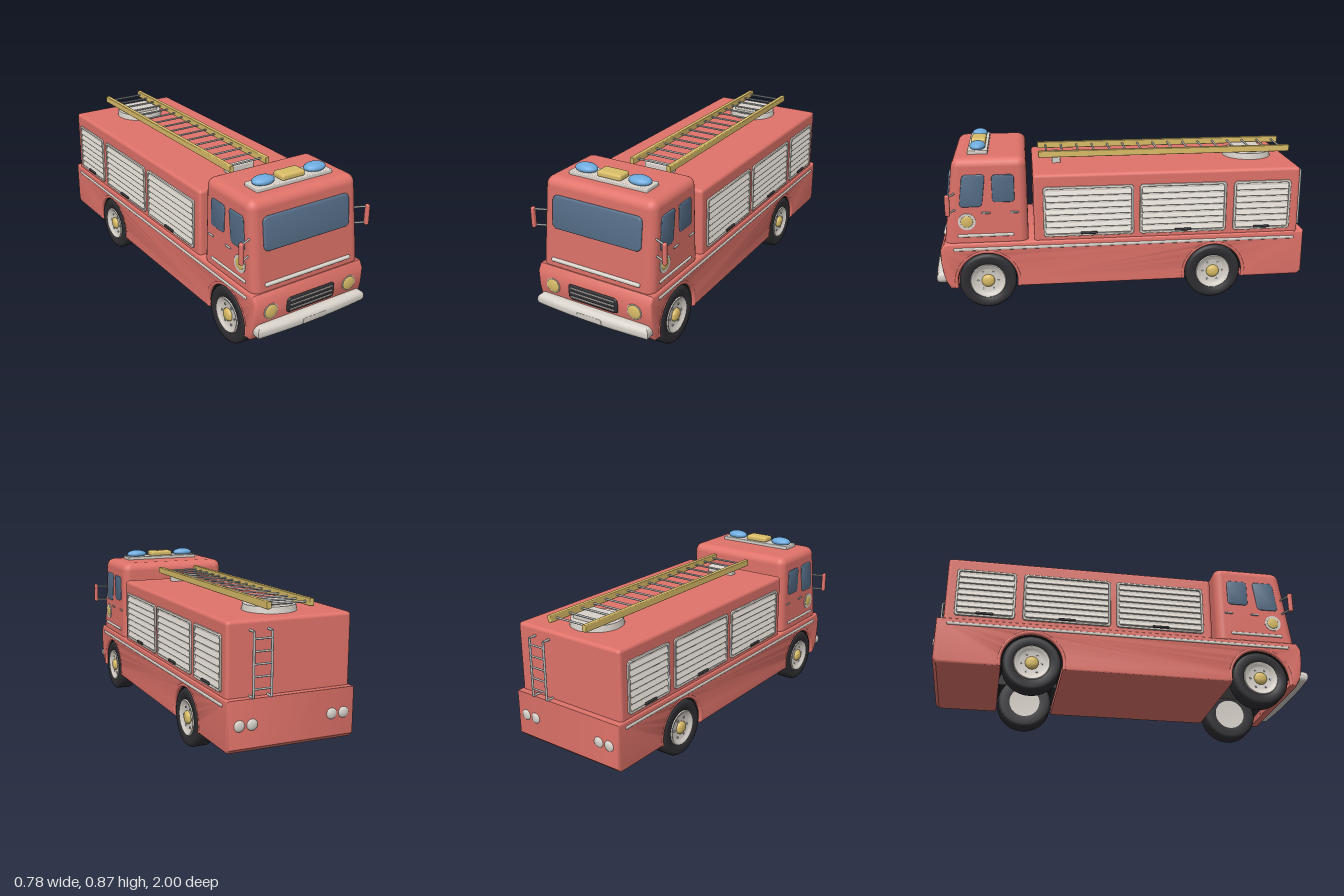
import * as THREE from 'three';
import { toCreasedNormals } from 'three/addons/utils/BufferGeometryUtils.js';
import { RoundedBoxGeometry } from 'three/addons/geometries/RoundedBoxGeometry.js';

const paint = (name, color, side = THREE.FrontSide) => {
  const m = new THREE.MeshStandardMaterial({ color, side });
  m.name = name;
  return m;
};
const V = (x, y, z) => new THREE.Vector3(x, y, z);

export function createModel() {
  const red = paint('red paint', 0xe0736a);
  const cream = paint('pale trim', 0xd8d2ca);
  const gold = paint('gold', 0xdabd68);
  const blue = paint('beacon blue', 0x6eabde);
  const glass = paint('window glass', 0x566e88);
  const black = paint('rubber black', 0x2f2f33);
  const well = paint('wheel well', 0x202022, THREE.DoubleSide);
  const steel = paint('steel', 0xb6b9b9);

  const truck = new THREE.Group();
  truck.name = 'fireTruck';

  const add = (name, geo, mat, x = 0, y = 0, z = 0, parent = truck) => {
    const m = new THREE.Mesh(geo, mat);
    m.name = name;
    m.position.set(x, y, z);
    parent.add(m);
    return m;
  };
  const rbox = (w, h, d, r = 0.008) => new RoundedBoxGeometry(w, h, d, 3, r);
  const extrude = (shape, depth, bevel, offset = 0) => {
    const g = new THREE.ExtrudeGeometry(shape, {
      depth, bevelEnabled: true, bevelThickness: bevel, bevelSize: bevel,
      bevelOffset: offset, bevelSegments: 5, curveSegments: 20,
    });
    g.translate(0, 0, -depth / 2);
    return toCreasedNormals(g, 0.7);
  };
  const roundRect = (w, h, r, S = THREE.Shape) => {
    const s = new S(), a = w / 2, b = h / 2;
    s.absarc(a - r, b - r, r, 0, Math.PI / 2);
    s.absarc(-a + r, b - r, r, Math.PI / 2, Math.PI);
    s.absarc(-a + r, -b + r, r, Math.PI, Math.PI * 1.5);
    s.absarc(a - r, -b + r, r, Math.PI * 1.5, Math.PI * 2);
    s.closePath();
    return s;
  };
  const plate = (w, h, r, bevel = 0.006) => extrude(roundRect(w, h, r), 0.002, bevel, -bevel);
  const rod = (name, a, b, r, mat) => {
    const m = add(name, new THREE.CylinderGeometry(r, r, a.distanceTo(b), 10), mat);
    m.position.copy(a).lerp(b, 0.5);
    m.quaternion.setFromUnitVectors(V(0, 1, 0), b.clone().sub(a).normalize());
  };
  const reshape = (geo, rule) => {
    const p = geo.attributes.position, v = V(0, 0, 0);
    for (let i = 0; i < p.count; i++) {
      rule(v.fromBufferAttribute(p, i));
      p.setXYZ(i, v.x, v.y, v.z);
    }
    return geo;
  };
  const dome = (r, h) => new THREE.SphereGeometry(r, 32, 12, 0, Math.PI * 2, 0, Math.PI / 2).scale(1, h / r, 1);

  // Slope of the cab front, and the cab surfaces at a given height
  const slope = 0.125;
  const cabZ = (y) => 0.935 - (y - 0.365) * slope;
  const cabX = (y) => 0.325 * (1 - 0.05 * (y - 0.365));
  const axles = [-0.49, 0.72];

  // Chassis with wheel arches
  const side = new THREE.Shape();
  side.moveTo(-0.985, 0.367);
  side.lineTo(-0.985, 0.135);
  side.lineTo(-0.965, 0.115);
  for (const z of axles) side.absarc(z, 0.15, 0.16, Math.PI + 0.22, -0.22, true);
  side.lineTo(0.915, 0.115);
  side.lineTo(0.942, 0.165);
  side.lineTo(0.957, 0.25);
  side.lineTo(0.959, 0.33);
  side.lineTo(0.938, 0.367);
  side.closePath();
  add('chassis', extrude(side, 0.642, 0.014, -0.014).rotateY(-Math.PI / 2), red);

  // Cab
  const cab = rbox(0.65, 0.485, 0.435, 0.045).translate(0, 0.5725, 0.7175);
  add('cab', reshape(cab, (v) => {
    if (v.z > 0.7) v.z -= (v.y - 0.365) * slope;
    v.x *= cabX(v.y) / 0.325;
  }), red);

  // Equipment body
  add('equipmentBody', rbox(0.65, 0.4, 1.42, 0.018), red, 0, 0.521, -0.24);

  // Windscreen and front trim
  add('windscreen', plate(0.514, 0.172, 0.028, 0.008), glass, 0, 0.651, cabZ(0.651) + 0.001)
    .rotation.x = -Math.atan(slope);
  add('frontTrim', rbox(0.52, 0.02, 0.02, 0.009), cream, 0, 0.403, cabZ(0.403) + 0.003);

  // Grille
  add('grille', plate(0.294, 0.085, 0.022, 0.01), black, 0, 0.268, 0.954);
  for (const y of [0.244, 0.268, 0.292]) add('grilleBar', rbox(0.262, 0.007, 0.008, 0.003), cream, 0, y, 0.965);

  // Bumper and plate
  const plan = new THREE.Shape();
  plan.moveTo(-0.3, -0.935);
  plan.lineTo(-0.3, -0.957);
  plan.quadraticCurveTo(0, -0.981, 0.3, -0.957);
  plan.lineTo(0.3, -0.935);
  plan.closePath();
  add('bumper', extrude(plan, 0.008, 0.03).rotateX(-Math.PI / 2), cream, 0, 0.177, 0);
  add('bumperPlate', plate(0.146, 0.029, 0.006, 0.003), cream, 0, 0.174, 0.996);

  // Roof light bar
  add('lightBarBase', rbox(0.45, 0.025, 0.105, 0.005), cream, 0, 0.821, 0.75);
  add('lightBarCentre', rbox(0.138, 0.034, 0.08, 0.013), gold, 0, 0.845, 0.75);

  // Wheel well linings and middle walls
  for (const z of axles) {
    const lining = new THREE.CylinderGeometry(0.158, 0.158, 0.64, 32, 1, true, 0, Math.PI);
    add('wheelWell', lining.rotateZ(Math.PI / 2), well, 0, 0.15, z);
    const wall = new THREE.CircleGeometry(0.158, 32, 0, Math.PI);
    add('wheelWellWall', wall.rotateY(Math.PI / 2), well, 0, 0.15, z);
  }

  // Wheel parts, axis along x with the outer face towards +x
  const lathe = (pts, n = 40) => toCreasedNormals(
    new THREE.LatheGeometry(pts.map(([r, h]) => new THREE.Vector2(r, h)), n), 0.8).rotateZ(-Math.PI / 2);
  const tyre = lathe([[0.085, -0.045], [0.132, -0.05], [0.143, -0.047], [0.15, -0.036], [0.15, 0.036],
    [0.143, 0.047], [0.132, 0.05], [0.095, 0.047], [0.085, 0.035]]);
  const rim = lathe([[0, -0.04], [0.09, -0.045], [0.093, 0], [0.095, 0.044], [0.09, 0.051], [0.083, 0.05],
    [0.075, 0.042], [0.06, 0.038], [0, 0.038]]);
  const hub = lathe([[0.035, 0.03], [0.034, 0.044], [0.027, 0.052], [0.014, 0.056], [0, 0.057]], 28);
  const bolt = new THREE.CylinderGeometry(0.006, 0.006, 0.012, 8).rotateZ(Math.PI / 2);

  // Roller shutters: [centre z, length]
  const shutters = [[0.183, 0.475], [-0.318, 0.465], [-0.745, 0.31]];

  for (const s of [-1, 1]) {
    const toSide = (geo) => geo.rotateY(s * Math.PI / 2);

    // Wheels and arch lips
    for (const z of axles) {
      const wheel = new THREE.Group();
      wheel.name = 'wheel';
      wheel.position.set(s * 0.281, 0.15, z);
      wheel.rotation.y = s > 0 ? 0 : Math.PI;
      add('tyre', tyre, black, 0, 0, 0, wheel);
      add('rim', rim, cream, 0, 0, 0, wheel);
      add('hub', hub, gold, 0, 0, 0, wheel);
      for (let i = 0; i < 6; i++) {
        const a = i * Math.PI / 3;
        add('wheelBolt', bolt, steel, 0.036, Math.sin(a) * 0.054, Math.cos(a) * 0.054, wheel);
      }
      truck.add(wheel);
      add('archLip', new THREE.TorusGeometry(0.167, 0.011, 10, 36, Math.PI + 0.36).rotateZ(-0.18)
        .rotateY(Math.PI / 2), red, s * 0.326, 0.15, z);
    }

    // Cab side windows, the front one following the slope
    add('frontSideWindow', reshape(toSide(plate(0.118, 0.172, 0.02)), (v) => { v.z -= v.y * slope; }),
      glass, s * (cabX(0.645) - 0.003), 0.645, 0.782);
    add('rearSideWindow', toSide(plate(0.115, 0.148, 0.02)), glass, s * (cabX(0.655) - 0.003), 0.655, 0.623);

    // Cab side trim, door handles and round badge
    add('cabSideTrim', rbox(0.016, 0.017, 0.29, 0.007), cream, s * 0.322, 0.406, 0.72);
    for (const z of [0.715, 0.568]) add('doorHandle', rbox(0.016, 0.01, 0.045, 0.004), steel, s * 0.32, 0.527, z);
    add('badgeRim', new THREE.CylinderGeometry(0.045, 0.045, 0.012, 32).rotateZ(Math.PI / 2),
      cream, s * 0.32, 0.482, 0.815);
    add('badge', dome(0.031, 0.006).rotateZ(-s * Math.PI / 2), gold, s * 0.3255, 0.482, 0.815);

    // Long side trim
    add('longSideTrim', rbox(0.014, 0.017, 1.82, 0.006), cream, s * 0.333, 0.334, -0.02);

    // Shutters with tilted slats and a handle
    for (const [z, len] of shutters) {
      const frame = roundRect(len, 0.27, 0.018);
      frame.holes.push(roundRect(len - 0.024, 0.246, 0.012, THREE.Path));
      add('shutterFrame', toSide(extrude(frame, 0.008, 0.003, -0.003)), cream, s * 0.327, 0.52, z);
      add('shutterBack', new THREE.BoxGeometry(0.006, 0.25, len - 0.02), cream, s * 0.323, 0.52, z);
      for (let i = 0; i < 7; i++) {
        add('shutterSlat', rbox(0.008, 0.038, len - 0.026, 0.003), cream,
          s * 0.325, 0.417 + i * 0.0345, z).rotation.z = s * 0.45;
      }
      add('shutterHandle', rbox(0.014, 0.013, 0.09, 0.005), black, s * 0.336, 0.402, z);
    }

    // Headlights
    add('headlightRim', new THREE.CylinderGeometry(0.041, 0.041, 0.02, 32).rotateX(Math.PI / 2), cream, s * 0.241, 0.27, 0.951);
    add('headlight', dome(0.036, 0.008).rotateX(Math.PI / 2), gold, s * 0.241, 0.27, 0.9605);

    // Beacons
    add('beacon', new THREE.SphereGeometry(0.061, 32, 16).scale(1, 0.4, 0.68), blue, s * 0.155, 0.845, 0.75);

    // Mirrors
    for (const y of [0.547, 0.633]) rod('mirrorArm', V(s * 0.31, y, 0.87), V(s * 0.382, y, 0.902), 0.005, steel);
    add('mirror', rbox(0.021, 0.112, 0.026, 0.009), red, s * 0.381, 0.59, 0.904);

    // Tail lights
    for (const x of [0.21, 0.275]) {
      add('tailLight', dome(0.028, 0.012).rotateX(-Math.PI / 2), cream, s * x, 0.245, -0.983);
    }

    // Roof ladder rail
    add('roofLadderRail', rbox(0.024, 0.035, 1.38, 0.004), gold, s * 0.111, 0.778, -0.255);

    // Rear ladder rail
    const x = 0.162 + s * 0.046;
    const path = [V(x, 0.675, -0.945), V(x, 0.675, -0.99), V(x, 0.37, -0.99), V(x, 0.37, -0.945)];
    for (let i = 0; i < 3; i++) rod('rearLadderRail', path[i], path[i + 1], 0.006, steel);
  }

  // Ladder rungs
  for (let i = 0; i < 16; i++) {
    const z = 0.39 - i * 0.0865;
    rod('roofLadderRung', V(-0.105, 0.778, z), V(0.105, 0.778, z), 0.005, steel);
  }
  for (let i = 0; i < 5; i++) {
    const y = 0.41 + i * 0.058;
    rod('rearLadderRung', V(0.116, y, -0.99), V(0.208, y, -0.99), 0.005, steel);
  }

  // Turntable and ladder rest
  add('turntable', new THREE.CylinderGeometry(0.128, 0.134, 0.035, 40), cream, 0, 0.735, -0.735);
  add('turntableBlock', rbox(0.175, 0.03, 0.15, 0.008), cream, 0, 0.757, -0.74);
  add('ladderRest', rbox(0.165, 0.045, 0.045, 0.008), cream, 0, 0.735, 0.338);

  return truck;
}
